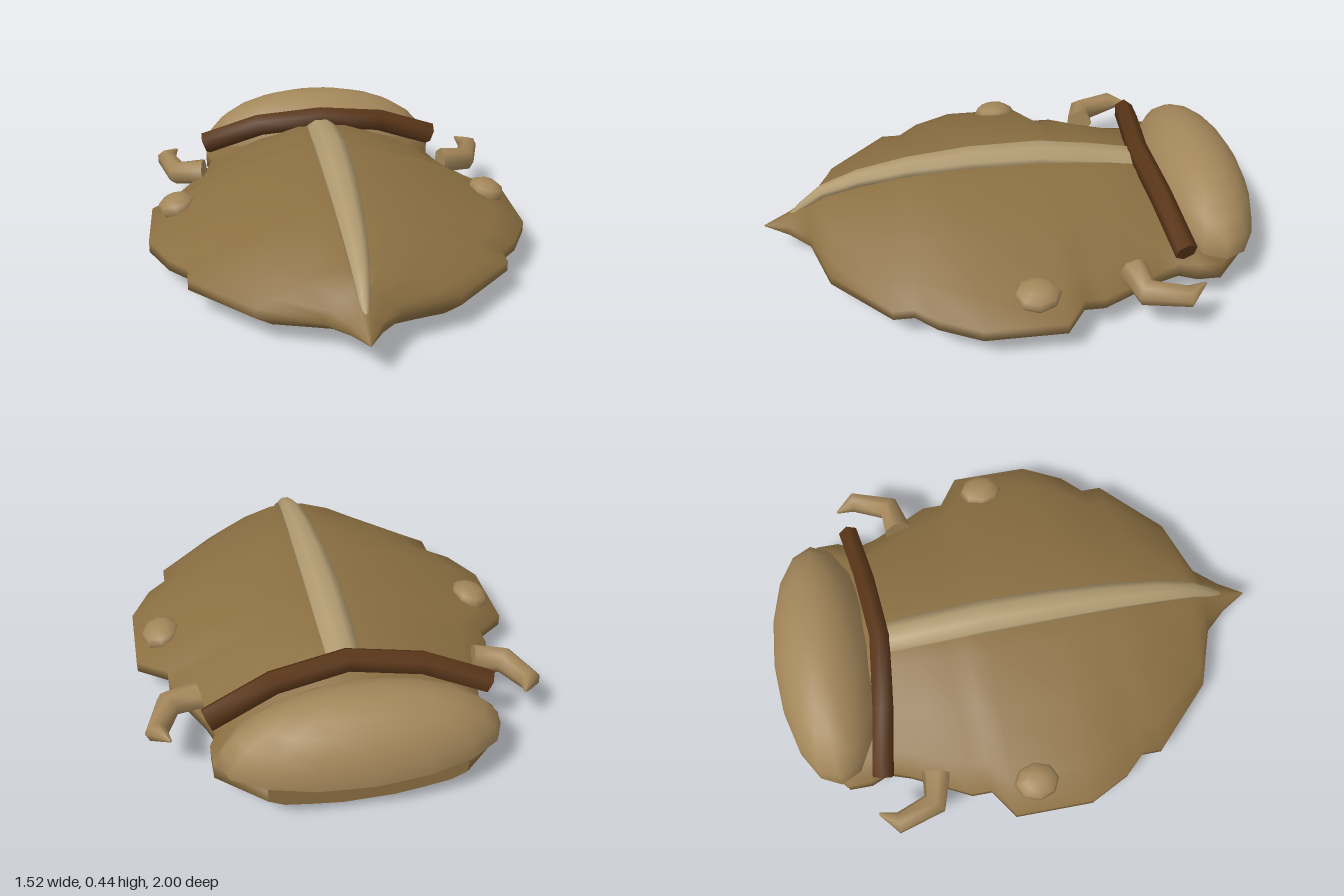
import * as THREE from 'three';

const mat = (color) => new THREE.MeshStandardMaterial({ color, roughness: 0.9, side: THREE.DoubleSide });
const shell = mat(0x8b6f42), horn = mat(0xb09a70), hump = mat(0xa3865a), band = mat(0x5a3618);

// Skin a list of equal-sized rings of [x, y, z]; ends are closed with flat caps
function loft(rings) {
  const n = rings[0].length, pos = [], idx = [];
  rings.forEach((r) => r.forEach((p) => pos.push(...p)));
  for (let i = 0; i < rings.length - 1; i++) {
    for (let j = 0; j < n; j++) {
      const a = i * n + j, b = i * n + ((j + 1) % n), c = a + n, d = b + n;
      idx.push(a, c, b, b, c, d);
    }
  }
  [0, rings.length - 1].forEach((k) => {
    const base = pos.length / 3, r = rings[k];
    const mid = [0, 1, 2].map((q) => r.reduce((s, p) => s + p[q], 0) / n);
    r.forEach((p) => pos.push(...p));
    pos.push(...mid);
    for (let j = 0; j < n; j++) {
      const a = base + j, b = base + ((j + 1) % n);
      if (k === 0) idx.push(base + n, a, b);
      else idx.push(base + n, b, a);
    }
  });
  const g = new THREE.BufferGeometry();
  g.setAttribute('position', new THREE.Float32BufferAttribute(pos, 3));
  g.setIndex(idx);
  g.computeVertexNormals();
  return g;
}

// Sweep an ellipse along points; sizes holds [across, upright] radii per point
function sweep(points, sizes, sides) {
  const pts = points.map((p) => new THREE.Vector3(...p));
  const up = new THREE.Vector3(0, 1, 0);
  return loft(pts.map((p, i) => {
    const t = pts[Math.min(i + 1, pts.length - 1)].clone().sub(pts[Math.max(i - 1, 0)]).normalize();
    const u = up.clone().cross(t).normalize(), v = u.clone().cross(t);
    return Array.from({ length: sides }, (_, k) => {
      const a = ((k + 0.5) / sides) * Math.PI * 2;
      return p.clone().addScaledVector(u, Math.cos(a) * sizes[i][0])
        .addScaledVector(v, Math.sin(a) * sizes[i][1]).toArray();
    });
  }));
}

// Flattened carapace ring: half width w, top t, bottom b, rim between lo and hi
function bodyRing([z, w, t, b, lo, hi]) {
  const half = [[0.26, -1], [0.57, -0.75], [0.84, -0.48], [1, 0]].map(([x, f]) => [x * w, lo + (lo - b) * f])
    .concat([[1, 0], [0.84, 0.24], [0.53, 0.68], [0.2, 0.97]].map(([x, f]) => [x * w, hi + (t - hi) * f]));
  const ring = half.map(([x, y]) => [x, y, z]);
  ring.push([0, t, z]);
  half.slice().reverse().forEach(([x, y]) => ring.push([-x, y, z]));
  return ring;
}

export function createModel() {
  const model = new THREE.Group();
  const add = (name, geometry, material) => {
    const m = new THREE.Mesh(geometry, material);
    m.name = name;
    model.add(m);
    return m;
  };

  // Carapace from pointed snout to blunt rear: z, width, top, bottom, rim low, rim high
  add('carapace', loft([
    [1, 0.002, 0.142, 0.138, 0.139, 0.141],
    [0.9, 0.06, 0.19, 0.11, 0.13, 0.15],
    [0.81, 0.14, 0.24, 0.085, 0.12, 0.15],
    [0.73, 0.37, 0.29, 0.05, 0.11, 0.15],
    [0.5, 0.605, 0.35, 0.02, 0.11, 0.15],
    [0.42, 0.605, 0.365, 0.018, 0.11, 0.15],
    [0.34, 0.68, 0.375, 0.012, 0.11, 0.155],
    [0.18, 0.76, 0.39, 0, 0.11, 0.155],
    [-0.13, 0.76, 0.395, 0, 0.11, 0.155],
    [-0.21, 0.645, 0.39, 0.012, 0.11, 0.155],
    [-0.29, 0.645, 0.385, 0.015, 0.11, 0.155],
    [-0.4, 0.59, 0.375, 0.018, 0.11, 0.155],
    [-0.52, 0.53, 0.355, 0.028, 0.11, 0.16],
    [-0.61, 0.5, 0.31, 0.03, 0.11, 0.17],
    [-0.68, 0.53, 0.26, 0.03, 0.11, 0.18],
    [-0.77, 0.53, 0.22, 0.03, 0.11, 0.18],
    [-0.92, 0.36, 0.195, 0.05, 0.11, 0.17],
  ].map(bodyRing)), shell);

  // Pale ridge along the back, tapering down to the snout
  const ridge = [
    [0.9, 0.18, 0.006], [0.84, 0.225, 0.022], [0.75, 0.29, 0.035], [0.6, 0.34, 0.048], [0.4, 0.375, 0.058],
    [0.15, 0.395, 0.068], [-0.13, 0.395, 0.073], [-0.35, 0.365, 0.072], [-0.53, 0.335, 0.068],
  ];
  add('backRidge', sweep(ridge.map(([z, y]) => [0, y, z]), ridge.map(([, , r]) => [r, r * 0.68]), 8), horn);

  // Half-dome over the rear, with a flat underside
  const dome = new THREE.SphereGeometry(1, 16, 6, 0, Math.PI * 2, 0, Math.PI / 2);
  dome.scale(0.52, 0.245, 0.21).translate(0, 0.19, -0.79);
  add('rearDome', dome, hump);
  const base = new THREE.CircleGeometry(1, 16).rotateX(Math.PI / 2);
  base.scale(0.52, 1, 0.21).translate(0, 0.19, -0.79);
  add('domeBase', base, hump);

  // Dark band arching in front of the dome
  const arch = [[-0.53, 0.25, -0.62], [-0.28, 0.345, -0.575], [0, 0.38, -0.545], [0.28, 0.345, -0.575], [0.53, 0.25, -0.62]];
  add('collarBand', sweep(arch, arch.map(() => [0.044, 0.05]), 6), band);

  // Mirrored eyes and hooked claws
  for (const s of [1, -1]) {
    const side = s > 0 ? 'left' : 'right';
    const eye = new THREE.SphereGeometry(1, 8, 6);
    eye.scale(0.078, 0.046, 0.09).rotateZ(-s * 0.2).translate(s * 0.652, 0.213, -0.03);
    add(side + 'Eye', eye, hump);

    const claw = [[0.54, 0.195, -0.415], [0.66, 0.185, -0.44], [0.712, 0.195, -0.59], [0.665, 0.21, -0.66]];
    add(side + 'Claw', sweep(claw.map(([x, y, z]) => [s * x, y, z]),
      [[0.058, 0.055], [0.052, 0.052], [0.042, 0.042], [0.005, 0.005]], 7), hump);
  }
  return model;
}
